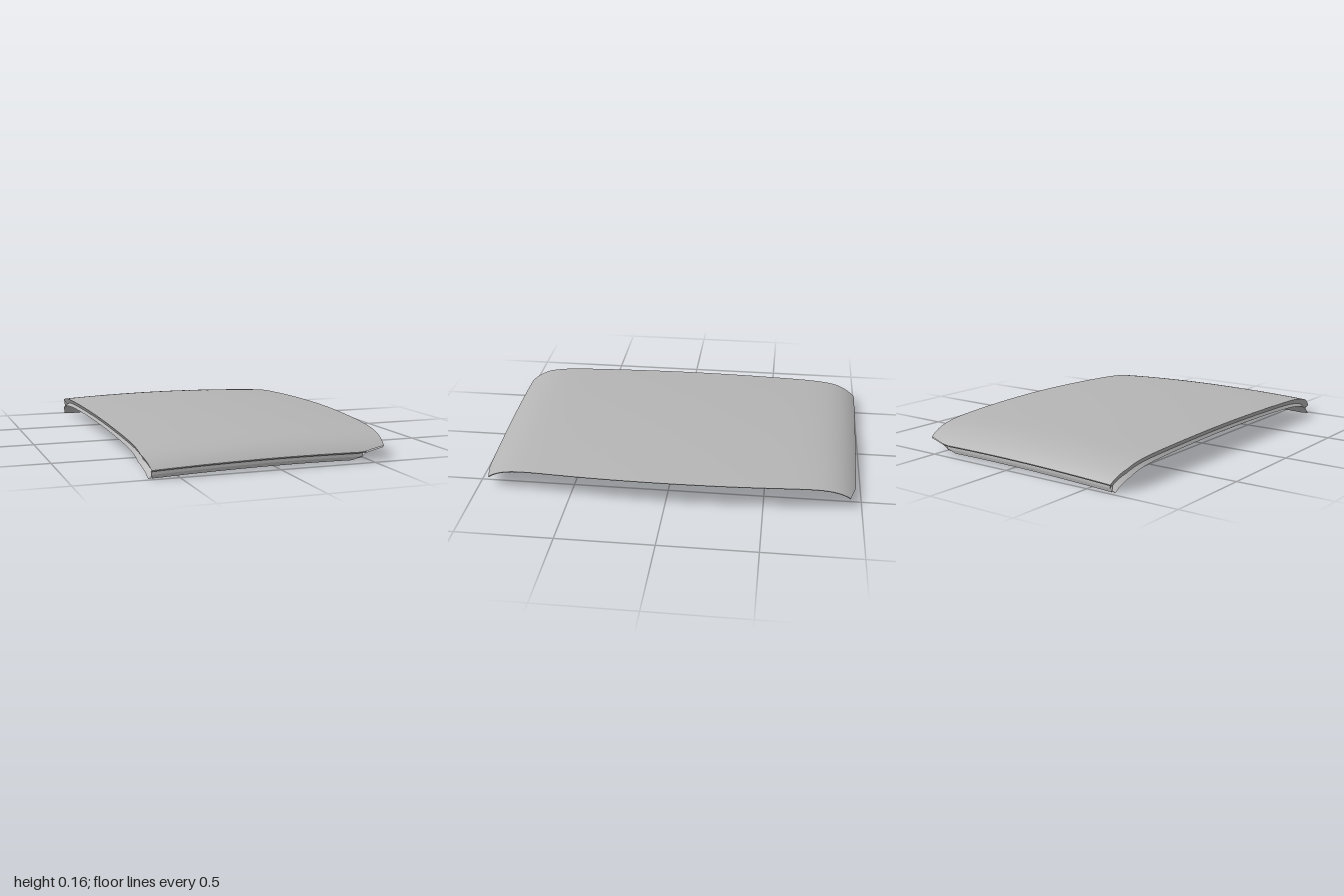
import * as THREE from 'three';

const lerp = THREE.MathUtils.lerp;

// Half width of the full arch, and of the panel with its tapered +x corners
const archWidth = x => 1 - 0.03 * Math.pow((Math.max(x, -0.635) + 0.635) / 1.1, 1.3);
const panelWidth = x => archWidth(x) - 0.026 * THREE.MathUtils.clamp((x - 0.45) / 0.13, 0, 1);

// Point at length x and cross position s (-1..1), lowered by dy and narrowed by zs
function roofPoint(x, s, dy = 0, zs = 1) {
  const z = s * panelWidth(x);
  const a = Math.abs(z / archWidth(x));
  const camber = 0.054 * x * x * (1 - 0.4 * a ** 4);
  const drop = 0.03 * a * a + 0.078 * a ** 12;
  return [x, 0.165 - camber - drop + dy, z * zs];
}

// End lines of the skin and the foot of the recess under the overhang
const rearX = s => -0.66 + 0.025 * Math.max(0, (Math.abs(s) - 0.9) / 0.1);
const frontX = s => 0.66 - 0.092 * (s * 0.935) ** 2;
const ridgeX = s => 0.455 + 0.045 * (1 - s * s);
const depth = s => -0.055 + 0.012 * s * s;
const across = v => Math.sin((v - 0.5) * Math.PI);

// Smooth surface grid from a rule of u and v
function grid(nu, nv, rule) {
  const pos = [], index = [];
  for (let i = 0; i <= nu; i++) {
    for (let j = 0; j <= nv; j++) pos.push(...rule(i / nu, j / nv, i));
  }
  for (let i = 0; i < nu; i++) {
    for (let j = 0; j < nv; j++) {
      const a = i * (nv + 1) + j, b = a + nv + 1;
      index.push(a, a + 1, b, b, a + 1, b + 1);
    }
  }
  const g = new THREE.BufferGeometry();
  g.setAttribute('position', new THREE.Float32BufferAttribute(pos, 3));
  g.setIndex(index);
  g.computeVertexNormals();
  return g;
}

// Strip with hard edges between the rows of a profile
function profileStrip(rows, nv, rule) {
  const parts = [];
  for (let k = 0; k < rows.length - 1; k++) {
    parts.push(grid(1, nv, (u, v, i) => rule(rows[k + i], v)));
  }
  return parts;
}

export function createModel() {
  const group = new THREE.Group();
  const paint = new THREE.MeshStandardMaterial({ color: 0xb4b4b4, side: THREE.DoubleSide });
  paint.name = 'grey';
  const add = (name, ...geometries) => {
    const part = new THREE.Group();
    part.name = name;
    for (const g of geometries) {
      const mesh = new THREE.Mesh(g, paint);
      mesh.name = name + 'Face';
      part.add(mesh);
    }
    group.add(part);
  };

  // Outer skin
  add('roofSkin', grid(32, 64, (u, v) => {
    const s = across(v);
    return roofPoint(lerp(rearX(s), frontX(s), u), s);
  }));

  // Inner lining
  add('lining', grid(24, 64, (u, v) => {
    const s = across(1 - v);
    return roofPoint(lerp(rearX(s) + 0.03, ridgeX(s) - 0.055, u), s, depth(s), 0.965);
  }));

  // Recess and ridge below the +x overhang: [x rule, dy, z scale]
  const recess = [
    [s => frontX(s), () => 0, 1],
    [s => frontX(s) - 0.006, () => -0.007, 0.998],
    [s => ridgeX(s) + 0.015, () => -0.012, 0.99],
    [s => ridgeX(s), () => -0.032, 0.975],
    [s => ridgeX(s) - 0.055, depth, 0.965],
  ];
  // Folded flange along the -x edge
  const flange = [
    [rearX, () => 0, 1],
    [s => rearX(s) + 0.005, () => -0.008, 0.995],
    [s => rearX(s) + 0.018, () => -0.028, 0.978],
    [s => rearX(s) + 0.008 - 0.018 * s ** 4, () => -0.042, 0.975],
    [s => rearX(s) + 0.03, depth, 0.965],
  ];
  const sweep = ([x, dy, zs], v) => {
    const s = across(v);
    return roofPoint(x(s), s, dy(s), zs);
  };
  add('frontRecess', ...profileStrip(recess, 64, sweep));
  add('rearFlange', ...profileStrip(flange, 64, sweep));

  // Side rails with a drip groove: [start x, end x, dy, z scale]
  const rail = [
    [-0.635, 0.47, 0, 1],
    [-0.63, 0.465, -0.007, 0.995],
    [-0.63, 0.46, -0.009, 0.976],
    [-0.63, 0.455, -0.026, 0.978],
    [-0.625, 0.40, -0.043, 0.975],
    [-0.605, 0.40, -0.043, 0.965],
  ];
  for (const side of [1, -1]) {
    add(side > 0 ? 'frontSideRail' : 'backSideRail',
      ...profileStrip(rail, 24, ([a, b, dy, zs], v) => roofPoint(lerp(a, b, v), side, dy, zs)));
  }
  return group;
}
